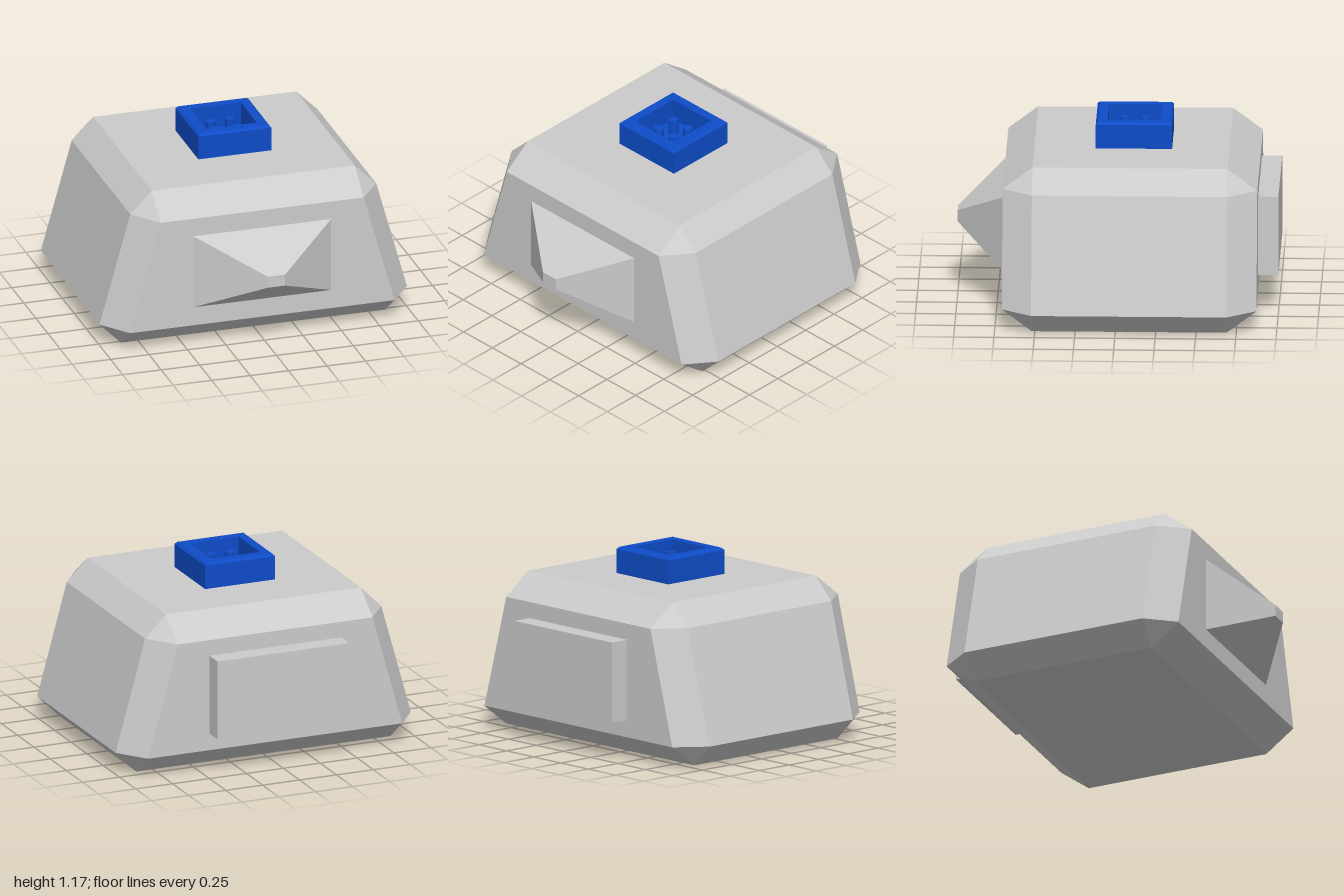
import * as THREE from 'three';
import { ConvexGeometry } from 'three/addons/geometries/ConvexGeometry.js';

const grey = new THREE.MeshStandardMaterial({ color: 0xcccccc, flatShading: true });
const blue = new THREE.MeshStandardMaterial({ color: 0x0e4cc8, flatShading: true });

function addMesh(parent, name, geometry, material, x = 0, y = 0, z = 0) {
  const mesh = new THREE.Mesh(geometry, material);
  mesh.name = name;
  mesh.position.set(x, y, z);
  parent.add(mesh);
  return mesh;
}

// Four points mirrored across x and z
const mirrored = (x, y, z) =>
  [[1, 1], [1, -1], [-1, 1], [-1, -1]].map(([sx, sz]) => new THREE.Vector3(sx * x, y, sz * z));

// Tapered block with every edge chamfered
function bodyGeometry() {
  const inZ = 0.605, outZ = 0.79;
  return new ConvexGeometry([
    ...mirrored(0.86, 0, inZ),
    ...mirrored(1.0, 0.14, inZ), ...mirrored(0.86, 0.14, outZ),
    ...mirrored(0.8, 0.86, inZ), ...mirrored(0.66, 0.86, outZ),
    ...mirrored(0.66, 1, inZ),
  ]);
}

// Truncated pyramid pointing along +z
function noseGeometry() {
  const points = [];
  for (const [w, h, z] of [[0.448, 0.24, 0], [0.056, 0.037, 0.295]])
    for (const sx of [-1, 1])
      for (const sy of [-1, 1]) points.push(new THREE.Vector3(sx * w, sy * h, z));
  return new ConvexGeometry(points);
}

// Square tray with a bevelled rim: a four-sided lathe of half widths
function trayGeometry() {
  const profile = [[0.237, 0], [0.237, 0.152], [0.222, 0.167], [0.165, 0.167], [0.165, 0.02], [0, 0.02]]
    .map(([half, y]) => new THREE.Vector2(half * Math.SQRT2, y));
  const geometry = new THREE.LatheGeometry(profile, 4, Math.PI / 4).toNonIndexed();
  geometry.computeVertexNormals();
  return geometry;
}

export function createModel() {
  const model = new THREE.Group();
  model.name = 'model';

  addMesh(model, 'body', bodyGeometry(), grey, 0, 0, -0.085);
  addMesh(model, 'nose', noseGeometry(), grey, 0, 0.502, 0.705);
  addMesh(model, 'backPanel', new THREE.BoxGeometry(0.892, 0.508, 0.125), grey, 0, 0.504, -0.9375);

  // Socket on top, with four pins inside
  const socket = new THREE.Group();
  socket.name = 'socket';
  socket.position.set(0, 1, -0.098);
  model.add(socket);
  addMesh(socket, 'socketTray', trayGeometry(), blue);
  for (const x of [-0.064, 0.064])
    for (const z of [-0.064, 0.064])
      addMesh(socket, 'pin', new THREE.CylinderGeometry(0.031, 0.031, 0.1, 16), blue, x, 0.067, z);

  return model;
}
